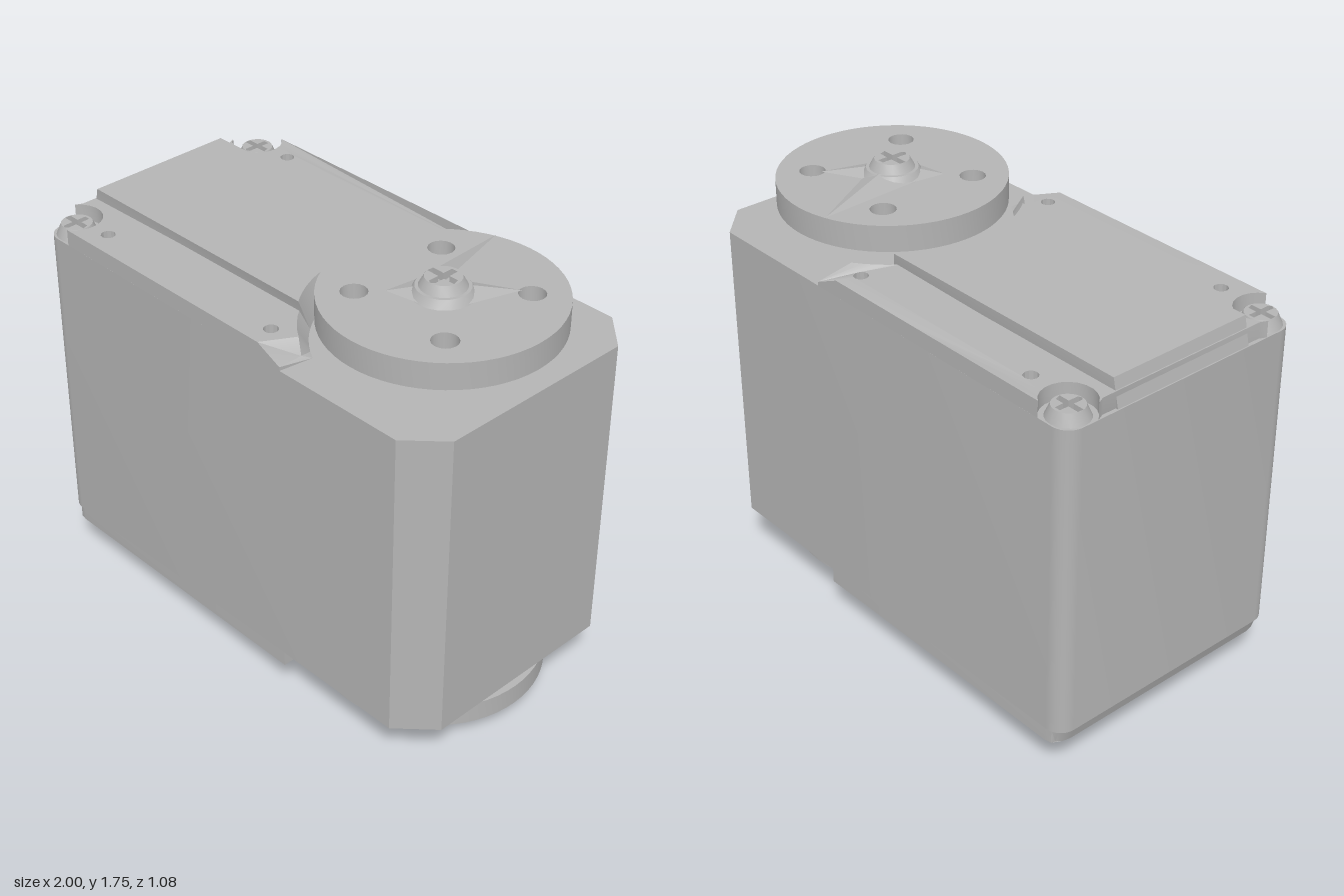
import * as THREE from 'three';
import { toCreasedNormals } from 'three/addons/utils/BufferGeometryUtils.js';

const HX = 0.55; // x of the output shaft
const deg = Math.PI / 180;

// points along an arc, angles in degrees
function arc(cx, cy, r, a0, a1, n) {
  return Array.from({ length: n + 1 }, (_, i) => {
    const a = (a0 + (a1 - a0) * i / n) * deg;
    return [cx + r * Math.cos(a), cy + r * Math.sin(a)];
  });
}
const vecs = pts => pts.map(p => new THREE.Vector2(p[0], p[1]));
const mirrored = half => half.concat(half.map(([x, s]) => [x, -s]).reverse().filter(p => Math.abs(p[1]) > 1e-6));
const circle = (x, y, r, n = 12) => arc(x, y, r, 0, 360 * (n - 1) / n, n - 1);

// plan outline raised from y0 to y1, with an optional vertex rule
function slab(outline, holes, y0, y1, rule) {
  const shape = new THREE.Shape(vecs(outline));
  for (const h of holes) shape.holes.push(new THREE.Path(vecs(h)));
  const g = new THREE.ExtrudeGeometry(shape, { depth: y1 - y0, bevelEnabled: false });
  g.rotateX(-Math.PI / 2).translate(0, y0, 0);
  if (rule) {
    const p = g.attributes.position, v = new THREE.Vector3();
    for (let i = 0; i < p.count; i++) {
      v.fromBufferAttribute(p, i);
      rule(v);
      p.setXYZ(i, v.x, v.y, v.z);
    }
  }
  return toCreasedNormals(g, 0.5);
}

export function createModel() {
  const model = new THREE.Group();
  const grey = new THREE.MeshStandardMaterial({ color: 0xb4b4b4 });
  grey.name = 'plain grey';
  const add = (name, geo, x = 0, y = 0, z = 0) => {
    const m = new THREE.Mesh(geo, grey);
    m.name = name;
    m.position.set(x, y, z);
    model.add(m);
    return m;
  };

  // case: chamfered front corners, rounded rear corners
  const caseHalf = [...arc(-0.93, 0.47, 0.07, 180, 90, 6), [0.865, 0.54], [1, 0.41]];
  add('case', slab(mirrored(caseHalf), [], 0.22, 1.49));

  // top cover: screw recesses at the rear, round cut-out around the horn
  const cut = a => arc(HX, 0, 0.5, a, 180, 12);
  const topHalf = [[-0.985, 0.37], ...arc(-0.915, 0.455, 0.1, -146, 58, 12),
    [0.2, 0.54], [0.31, 0.54], ...cut(118.7)];
  const smallHoles = [];
  for (const s of [-1, 1]) for (const x of [-0.73, 0.17]) smallHoles.push(circle(x, s * 0.45, 0.028));
  const taperCut = v => {
    if (v.y < 1.5 && Math.hypot(v.x - HX, v.z) < 0.505) {
      v.x = HX + (v.x - HX) * 0.92;
      v.z *= 0.92;
    } else if (v.y > 1.5 && v.x > 0.3) v.y = 1.505;
  };
  add('topCover', slab(mirrored(topHalf), smallHoles, 1.49, 1.555, taperCut));

  // raised middle of the top cover
  const ridgeHalf = [[-0.995, 0.31], ...cut(141.7)];
  add('topRidge', slab(mirrored(ridgeHalf), [], 1.49, 1.6, v => {
    taperCut(v);
    if (v.y > 1.55 && v.x < -0.9) v.x = -0.97;
  }));

  // bottom cover
  const bottomHalf = [...arc(-0.92, 0.46, 0.075, 180, 90, 4), [0.31, 0.54], ...cut(118.7)];
  const bottomHoles = [];
  for (const s of [-1, 1]) for (const x of [-0.92, 0.2]) bottomHoles.push(circle(x, s * 0.46, 0.03));
  add('bottomCover', slab(mirrored(bottomHalf), bottomHoles, 0.16, 0.22, v => {
    if (v.y < 0.2 && v.x < -0.96) v.x += 0.02;
  }));

  // sloped connector pad under the bottom cover
  const padShape = new THREE.Shape(vecs([[-0.77, 0.165], [-0.77, 0.08], [-0.33, 0.08], [-0.18, 0.165]]));
  add('connectorPad', new THREE.ExtrudeGeometry(padShape, { depth: 0.84, bevelEnabled: false }), 0, 0, -0.42);

  // two rows of three pins
  const pinGeo = toCreasedNormals(new THREE.CylinderGeometry(0.045, 0.045, 0.17, 8), 0.3);
  for (const s of [-1, 1]) for (const z of [0.125, 0.23, 0.335]) add('pin', pinGeo, -0.07, 0.085, s * z);

  // screw head with a cross slot
  function screw(name, x, y, z, r, h) {
    const w = r * 0.15, l = r * 0.72;
    const cross = [[w, w], [w, l], [-w, l], [-w, w], [-l, w], [-l, -w], [-w, -w], [-w, -l], [w, -l], [w, -w], [l, -w], [l, w]];
    add(name, slab(circle(0, 0, r, 20), [cross], 0, h, v => {
      if (v.y > h / 2 && Math.hypot(v.x, v.z) > r * 0.9) { v.x *= 0.75; v.z *= 0.75; }
    }), x, y, z);
  }
  for (const s of [-1, 1]) screw('coverScrew', -0.915, 1.49, s * 0.455, 0.08, 0.045);

  // round horns with four mounting holes
  const hornHoles = [];
  for (const a of [-1, 1]) for (const b of [-1, 1]) hornHoles.push(circle(a * 0.215, b * 0.215, 0.05, 16));
  const disc = circle(0, 0, 0.44, 64);
  add('topHorn', slab(disc, hornHoles, 1.575, 1.68), HX);
  add('bottomHorn', slab(disc, hornHoles, 0.08, 0.165), HX);

  // shaft hubs between case and horns
  const hub = pts => toCreasedNormals(new THREE.LatheGeometry(vecs(pts), 32), 0.5);
  add('topHub', hub([[0.13, 1.485], [0.2, 1.515], [0.2, 1.58]]), HX);
  add('bottomHub', hub([[0.2, 0.16], [0.2, 0.195], [0.13, 0.225]]), HX);

  // faceted star and centre screw on the top horn
  const star = [[-0.14, -0.42], [0.03, -0.12], [0.18, -0.2], [0.11, 0.02], [0.03, 0.11], [-0.14, 0.14], [-0.12, 0]];
  const tri = [];
  star.forEach((p, i) => {
    const q = star[(i + 1) % star.length];
    tri.push(0, 0.04, 0, q[0], 0.004, q[1], p[0], 0.004, p[1]);
  });
  const starGeo = new THREE.BufferGeometry();
  starGeo.setAttribute('position', new THREE.Float32BufferAttribute(tri, 3));
  starGeo.computeVertexNormals();
  add('hornStar', starGeo, HX, 1.68, 0);
  add('screwBoss', toCreasedNormals(new THREE.CylinderGeometry(0.1, 0.12, 0.03, 20), 0.5), HX, 1.695, 0);
  screw('hornScrew', HX, 1.705, 0, 0.09, 0.04);

  // faceted cap with centre hole on the bottom horn
  const cap = new THREE.LatheGeometry(vecs([[0.05, 0.081], [0.05, 0.055], [0.13, 0.055], [0.22, 0.081]]), 8);
  add('bottomCap', toCreasedNormals(cap, 0.2), HX);

  return model;
}
